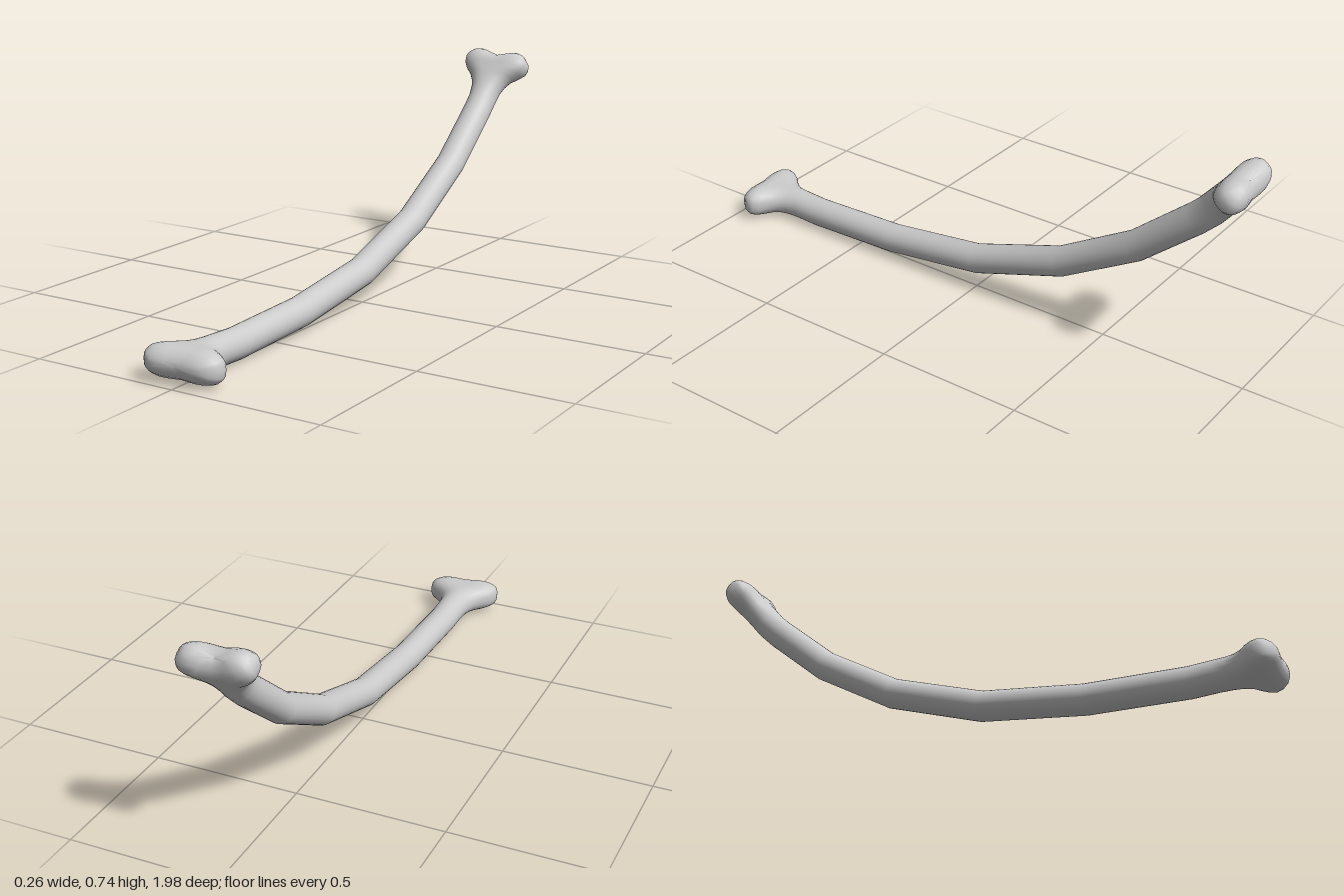
import * as THREE from 'three';

const SIDES = 28;

// Knuckle profile: [offset along the shaft from the lobe centre, half width, half thickness, squareness]
const KNUCKLE = [
  [-0.15, 0.051, 0.050, 0],
  [-0.11, 0.056, 0.050, 0],
  [-0.08, 0.068, 0.050, 0.1],
  [-0.055, 0.088, 0.051, 0.3],
  [-0.035, 0.112, 0.052, 0.6],
  [-0.015, 0.126, 0.053, 0.9],
  [0.005, 0.129, 0.054, 1],
  [0.025, 0.124, 0.048, 1],
  [0.042, 0.109, 0.037, 1],
  [0.053, 0.088, 0.021, 1],
  [0.056, 0.060, 0.009, 1],
  [0.056, 0.0, 0.0, 1],
];

// Centre line of the shaft: [z, y]
const SHAFT = [[0.7, 0.055], [0.36, 0.065], [0, 0.11], [-0.33, 0.217], [-0.6, 0.37], [-0.8, 0.535]];

// One end: rings placed along direction u (z, y) from the lobe centre
function knuckleRings({ z, y, u, notch, skew, twist, scale }) {
  return KNUCKLE.map(([d, w, h, sq]) => ({
    z: z + u[0] * d, y: y + u[1] * d, u, w: w * (sq > 0.2 ? scale : 1), h, sq,
    notch: notch * THREE.MathUtils.smoothstep(d, -0.03, 0.045), skew: skew * sq, twist: twist * sq,
  }));
}

function shaftRings() {
  return SHAFT.map(([z, y], i) => {
    const a = SHAFT[Math.max(i - 1, 0)], b = SHAFT[Math.min(i + 1, SHAFT.length - 1)];
    const dz = a[0] - b[0], dy = a[1] - b[1], len = Math.hypot(dz, dy);
    return { z, y, u: [dz / len, dy / len], w: 0.05, h: 0.05, sq: 0, notch: 0, skew: 0, twist: 0 };
  });
}

// Skin a list of cross-sections, ordered from the front end to the back end
function loft(rings) {
  const pos = [], index = [];
  rings.forEach((r, i) => {
    // up direction of the section, always on the upper side of the curve
    const s = r.u[0] >= 0 ? 1 : -1;
    const up = [-r.u[1] * s, r.u[0] * s];
    for (let k = 0; k < SIDES; k++) {
      const t = (k / SIDES) * Math.PI * 2, c = Math.cos(t), sn = Math.sin(t);
      const p = 1 - 0.35 * r.sq;
      const x = r.w * Math.sign(c) * Math.abs(c) ** p;
      const valley = Math.exp(-((x / 0.045) ** 2));
      const n = r.h * Math.sign(sn) * Math.abs(sn) ** p * (1 - 0.1 * r.sq * valley) + r.twist * x;
      const d = r.skew * x - r.notch * valley;
      pos.push(x - 0.005 * (1 - r.sq), r.y + up[1] * n + r.u[1] * d, r.z + up[0] * n + r.u[0] * d);
      if (i < rings.length - 1) {
        const a = i * SIDES + k, b = i * SIDES + (k + 1) % SIDES;
        index.push(a, a + SIDES, b, b, a + SIDES, b + SIDES);
      }
    }
  });
  const g = new THREE.BufferGeometry();
  g.setAttribute('position', new THREE.Float32BufferAttribute(pos, 3));
  g.setIndex(index);
  g.computeVertexNormals();
  return g;
}

export function createModel() {
  const front = knuckleRings({ z: 0.935, y: 0.064, u: [0.999, 0.03], notch: 0.005, skew: -0.08, twist: -0.02, scale: 1 });
  const back = knuckleRings({ z: -0.938, y: 0.687, u: [-0.65, 0.76], notch: 0.022, skew: -0.03, twist: -0.05, scale: 0.95 });
  const rings = [...front.reverse(), ...shaftRings(), ...back];

  const bone = new THREE.Mesh(loft(rings), new THREE.MeshStandardMaterial({ color: 0xcccccc }));
  bone.name = 'curvedBone';
  const group = new THREE.Group();
  group.name = 'bone';
  group.add(bone);
  return group;
}
